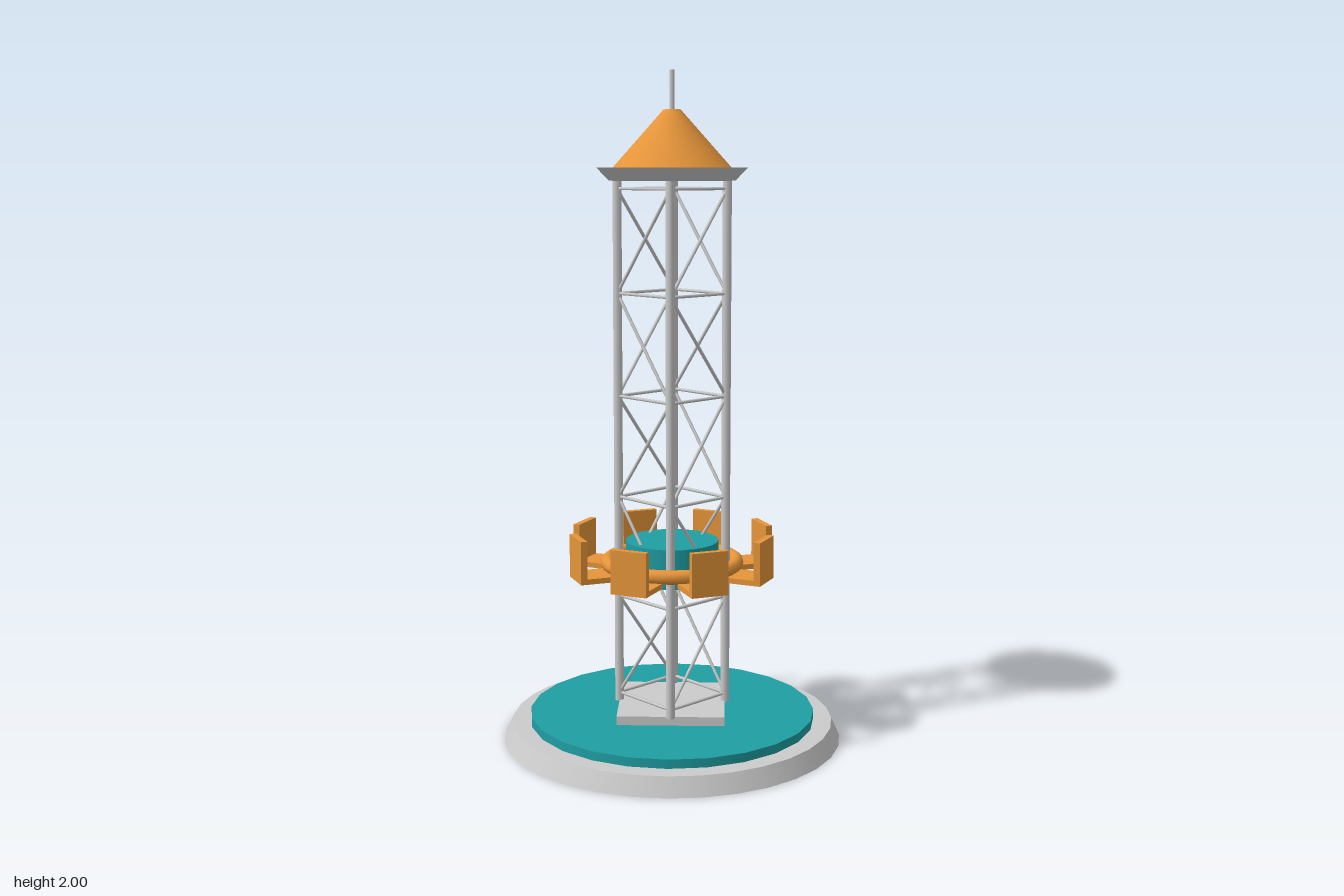
import * as THREE from 'three';

const grey = new THREE.MeshStandardMaterial({ color: 0xcccccc });
const teal = new THREE.MeshStandardMaterial({ color: 0x1f9ea3 });
const orange = new THREE.MeshStandardMaterial({ color: 0xe6953a });

function add(parent, name, geometry, material) {
  const mesh = new THREE.Mesh(geometry, material);
  mesh.name = name;
  parent.add(mesh);
  return mesh;
}

// Round part standing between two heights
function drum(parent, name, rTop, rBottom, y0, y1, sides, material) {
  const mesh = add(parent, name, new THREE.CylinderGeometry(rTop, rBottom, y1 - y0, sides), material);
  mesh.position.y = (y0 + y1) / 2;
  return mesh;
}

// Straight bar between two points
function bar(parent, name, a, b, radius, sides = 6) {
  const dir = b.clone().sub(a);
  const mesh = add(parent, name, new THREE.CylinderGeometry(radius, radius, dir.length(), sides), grey);
  mesh.position.copy(a).add(b).multiplyScalar(0.5);
  mesh.quaternion.setFromUnitVectors(new THREE.Vector3(0, 1, 0), dir.normalize());
  return mesh;
}

function createTower() {
  const tower = new THREE.Group();
  tower.name = 'latticeTower';
  const half = 0.114, low = 0.13, bays = 5, bayHeight = 0.306;

  for (let side = 0; side < 4; side++) {
    const face = new THREE.Group();
    face.name = 'towerFace';
    face.rotation.y = side * Math.PI / 2;
    tower.add(face);
    const point = (x, y) => new THREE.Vector3(x * half, y, half);

    bar(face, 'cornerPost', point(1, 0.105), point(1, 1.69), 0.0135, 10);
    for (let level = 0; level <= bays; level++) {
      const y = low + level * bayHeight;
      bar(face, 'crossBar', point(-1, y), point(1, y), 0.005);
      // Diagonals zigzag from one post to the other
      if (level < bays) {
        const from = level % 2 ? 1 : -1;
        bar(face, 'diagonalBrace', point(from, y), point(-from, y + bayHeight), 0.005);
      }
    }
  }
  return tower;
}

function createCarriage() {
  const carriage = new THREE.Group();
  carriage.name = 'carriage';
  drum(carriage, 'hub', 0.14, 0.14, 0.49, 0.61, 24, teal);

  const ring = add(carriage, 'seatRing', new THREE.TorusGeometry(0.195, 0.021, 10, 40), orange);
  ring.rotation.x = Math.PI / 2;
  ring.position.y = 0.543;

  // Eight outward seats with the backrest on the outer edge
  for (let i = 0; i < 8; i++) {
    const seat = new THREE.Group();
    seat.name = 'seat';
    seat.rotation.y = (i + 0.5) * Math.PI / 4;
    carriage.add(seat);
    const pan = add(seat, 'seatPan', new THREE.BoxGeometry(0.112, 0.016, 0.115), orange);
    pan.position.set(0, 0.518, 0.2485);
    const back = add(seat, 'seatBack', new THREE.BoxGeometry(0.112, 0.13, 0.02), orange);
    back.position.set(0, 0.575, 0.296);
  }
  return carriage;
}

export function createModel() {
  const model = new THREE.Group();
  model.name = 'dropTower';

  // Base and platform
  drum(model, 'base', 0.488, 0.513, 0, 0.054, 32, grey);
  drum(model, 'platform', 0.433, 0.433, 0.054, 0.081, 24, teal);
  drum(model, 'towerFooting', 0.227, 0.227, 0.081, 0.108, 4, grey).material =
    new THREE.MeshStandardMaterial({ color: 0xcccccc, flatShading: true });

  model.add(createTower(), createCarriage());

  // Roof and mast
  drum(model, 'roofRim', 0.221, 0.185, 1.683, 1.72, 32, grey);
  drum(model, 'roofCone', 0.025, 0.174, 1.72, 1.887, 32, orange);
  drum(model, 'mast', 0.007, 0.007, 1.887, 2, 8, grey);
  return model;
}
